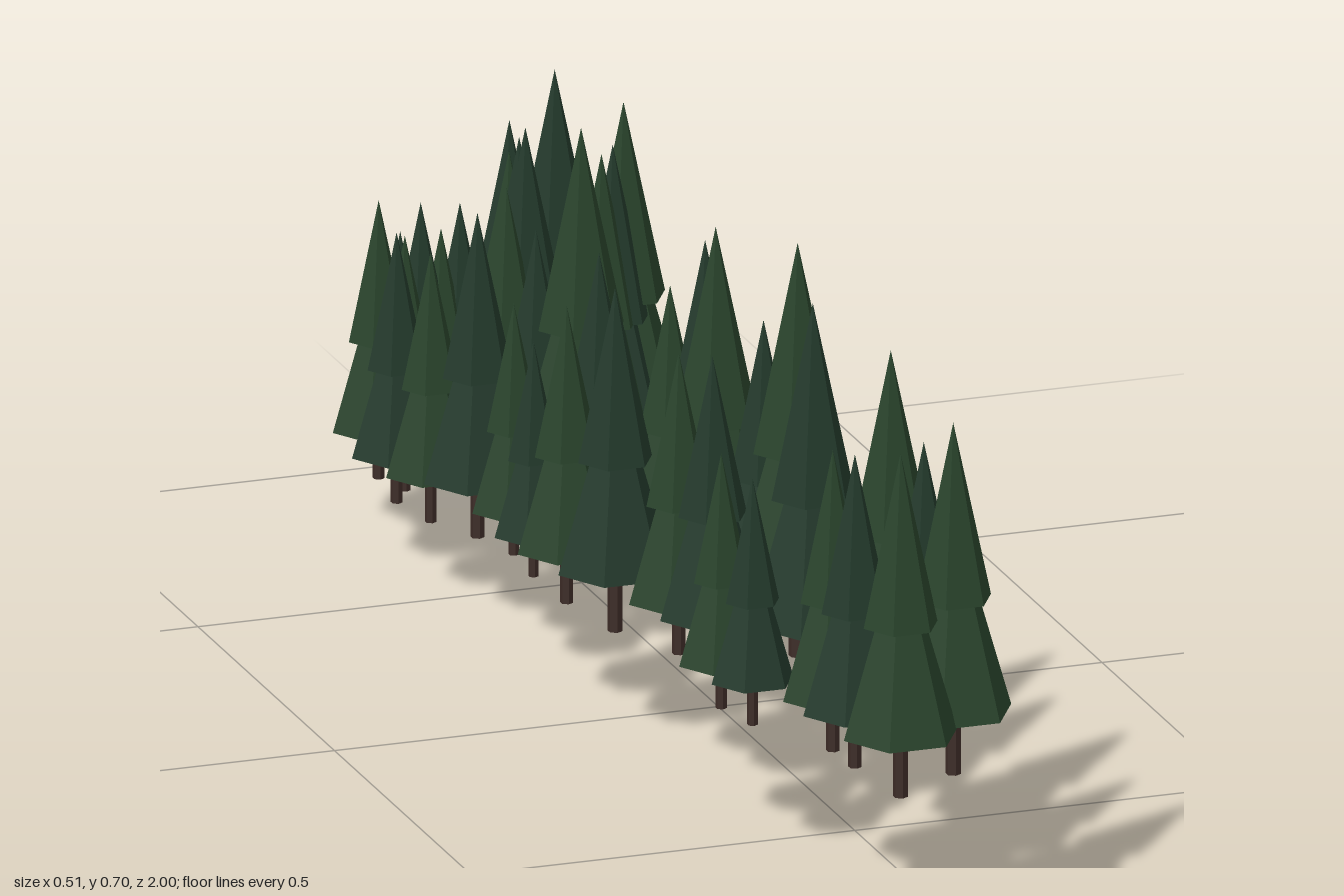
import * as THREE from 'three';

// Unit-height tree parts; each tree scales them uniformly
const SIDES = 6;
function cone(radius, bottom, top) {
  const g = new THREE.ConeGeometry(radius, top - bottom, SIDES);
  g.rotateY(Math.PI / 6); // corners point along x
  g.translate(0, (top + bottom) / 2, 0);
  return g;
}

// Trees as [x, ground y, z, height]
const innerRow = [
  [-0.005, 0.195, 0.875, 0.455], [0.01, 0.185, 0.725, 0.39], [0.015, 0.18, 0.59, 0.47],
  [-0.035, 0.17, 0.445, 0.5], [-0.005, 0.165, 0.305, 0.535], [-0.005, 0.155, 0.18, 0.405],
  [-0.03, 0.15, 0.075, 0.5], [-0.01, 0.145, -0.02, 0.455], [-0.02, 0.14, -0.12, 0.37],
  [-0.07, 0.13, -0.24, 0.39], [-0.04, 0.115, -0.39, 0.515], [-0.065, 0.1, -0.485, 0.37],
  [-0.08, 0.085, -0.55, 0.42], [-0.045, 0.08, -0.58, 0.49], [-0.1, 0.075, -0.59, 0.36],
  [-0.03, 0.07, -0.645, 0.465], [-0.02, 0.055, -0.71, 0.44], [0.043, 0.05, -0.72, 0.54],
  [0.07, 0.035, -0.71, 0.4], [0, 0.045, -0.765, 0.47], [0.035, 0.03, -0.78, 0.42],
  [0.09, 0.02, -0.76, 0.4], [0.127, 0.015, -0.785, 0.435], [0.147, 0.01, -0.8, 0.445],
  [0.17, 0, -0.825, 0.5],
];
const outerRow = [
  [-0.095, 0.195, 0.935, 0.445], [-0.11, 0.195, 0.81, 0.405], [-0.105, 0.185, 0.715, 0.39],
  [-0.16, 0.18, 0.575, 0.32], [-0.165, 0.17, 0.475, 0.33], [-0.125, 0.165, 0.33, 0.41],
  [-0.135, 0.16, 0.235, 0.39], [-0.17, 0.15, 0.1, 0.445], [-0.185, 0.145, -0.035, 0.385],
  [-0.175, 0.13, -0.185, 0.305], [-0.165, 0.125, -0.285, 0.325], [-0.175, 0.115, -0.39, 0.42],
  [-0.195, 0.1, -0.505, 0.35], [-0.195, 0.085, -0.63, 0.35], [-0.17, 0.085, -0.67, 0.33],
  [-0.16, 0.075, -0.715, 0.33], [-0.165, 0.065, -0.78, 0.36], [-0.08, 0.045, -0.865, 0.34],
  [-0.05, 0.045, -0.875, 0.3], [-0.02, 0.04, -0.89, 0.33], [0.025, 0.03, -0.91, 0.3],
  [0.07, 0.02, -0.92, 0.29], [0.105, 0.01, -0.935, 0.3], [0.165, 0, -0.95, 0.36],
];

export function createModel() {
  const material = (color) => new THREE.MeshStandardMaterial({ color, flatShading: true });
  const bark = material(0x3d2c27);
  const greens = [material(0x28432b), material(0x22392b)];

  const trunk = new THREE.CylinderGeometry(0.021, 0.021, 0.3, SIDES);
  trunk.translate(0, 0.15, 0);
  const lowerFoliage = cone(0.166, 0.18, 0.75);
  const upperFoliage = cone(0.108, 0.5, 1);

  function tree([x, y, z, height], index) {
    const group = new THREE.Group();
    group.name = 'pineTree';
    const leaf = greens[index % 2];
    const parts = [
      ['trunk', trunk, bark],
      ['lowerFoliage', lowerFoliage, leaf],
      ['upperFoliage', upperFoliage, leaf],
    ];
    for (const [name, geometry, mat] of parts) {
      const mesh = new THREE.Mesh(geometry, mat);
      mesh.name = name;
      group.add(mesh);
    }
    group.position.set(x, y, z);
    group.scale.setScalar(height);
    return group;
  }

  // Two curving rows following the slope
  const model = new THREE.Group();
  model.name = 'treeLine';
  for (const [name, row] of [['innerRow', innerRow], ['outerRow', outerRow]]) {
    const group = new THREE.Group();
    group.name = name;
    row.forEach((entry, i) => group.add(tree(entry, i)));
    model.add(group);
  }
  return model;
}
